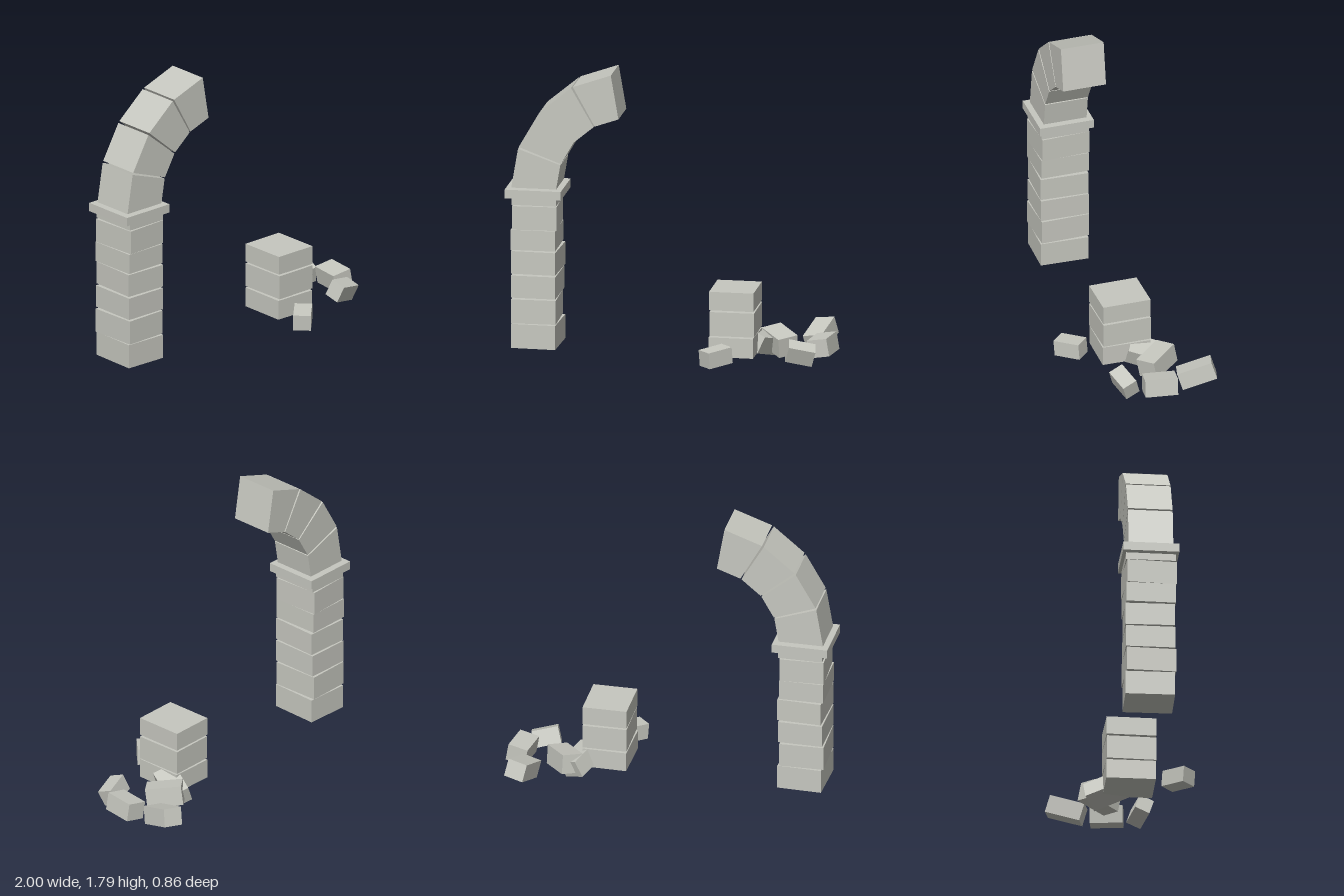
import * as THREE from 'three';

const rad = THREE.MathUtils.degToRad;

export function createModel() {
  const model = new THREE.Group();
  model.name = 'ruinedArch';
  const stone = new THREE.MeshStandardMaterial({ color: 0xc6c7bf });
  stone.name = 'weathered stone';

  const zMid = 0.036; // centre of the wall in depth

  // One stone block; the yaw is applied last
  function block(parent, name, size, pos, [rx, ry, rz] = [0, 0, 0]) {
    const mesh = new THREE.Mesh(new THREE.BoxGeometry(...size), stone);
    mesh.name = name;
    mesh.position.set(...pos);
    mesh.rotation.set(rad(rx), rad(ry), rad(rz), 'YXZ');
    parent.add(mesh);
  }

  function group(name) {
    const g = new THREE.Group();
    g.name = name;
    model.add(g);
    return g;
  }

  // Stacked pillar; each course is [bottom, top, centre x, yaw]
  function pillar(name, courses) {
    const g = group(name);
    courses.forEach(([y0, y1, x, yaw], i) =>
      block(g, `${name}Course${i + 1}`, [0.273, y1 - y0, 0.302], [x, (y0 + y1) / 2, zMid], [0, yaw, 0]));
  }

  pillar('standingPillar', [
    [0.061, 0.211, -0.824, -1.5],
    [0.217, 0.366, -0.830, 1.5],
    [0.376, 0.514, -0.827, -0.4],
    [0.525, 0.666, -0.824, -1.8],
    [0.675, 0.800, -0.831, 0.6],
    [0.803, 0.950, -0.828, 2.7],
    [0.956, 1.001, -0.825, 0.2],
  ]);
  block(model, 'pillarCapital', [0.345, 0.054, 0.342], [-0.8275, 1.027, 0.035]);

  pillar('brokenPillar', [
    [0.061, 0.183, 0.389, -0.6],
    [0.193, 0.342, 0.392, 1.0],
    [0.353, 0.468, 0.390, 0.4],
  ]);

  // Wedge stones of the surviving half of the arch
  const arch = group('arch');
  const cx = -0.227, cy = 1.06, inner = 0.462, outer = 0.738, depth = 0.272;
  for (let i = 0; i < 4; i++) {
    const a0 = rad(180 - i * 20.3), a1 = a0 - rad(19.3);
    const corner = (r, a) => new THREE.Vector2(cx + r * Math.cos(a), cy + r * Math.sin(a));
    const wedge = new THREE.Shape([corner(inner, a0), corner(inner, a1), corner(outer, a1), corner(outer, a0)]);
    const geo = new THREE.ExtrudeGeometry(wedge, { depth, bevelEnabled: false });
    const mesh = new THREE.Mesh(geo, stone);
    mesh.name = `archStone${i + 1}`;
    mesh.position.z = zMid - depth / 2;
    arch.add(mesh);
  }

  // Fallen stones: size, position, rotation in degrees
  const rubble = group('rubble');
  [
    [[0.17, 0.10, 0.107], [0.321, 0.102, 0.328], [0, 45, 5]],
    [[0.165, 0.105, 0.095], [0.808, 0.099, 0.143], [20, 10, -13]],
    [[0.125, 0.11, 0.20], [0.914, 0.107, -0.05], [0, -8, 10]],
    [[0.125, 0.11, 0.22], [0.854, 0.108, -0.302], [18, -12, 8]],
    [[0.22, 0.12, 0.13], [0.636, 0.105, -0.12], [7, -53, -8]],
    [[0.14, 0.11, 0.23], [0.537, 0.103, -0.09], [-15, -24, -20]],
  ].forEach(([size, pos, rot], i) => block(rubble, `fallenStone${i + 1}`, size, pos, rot));

  return model;
}
